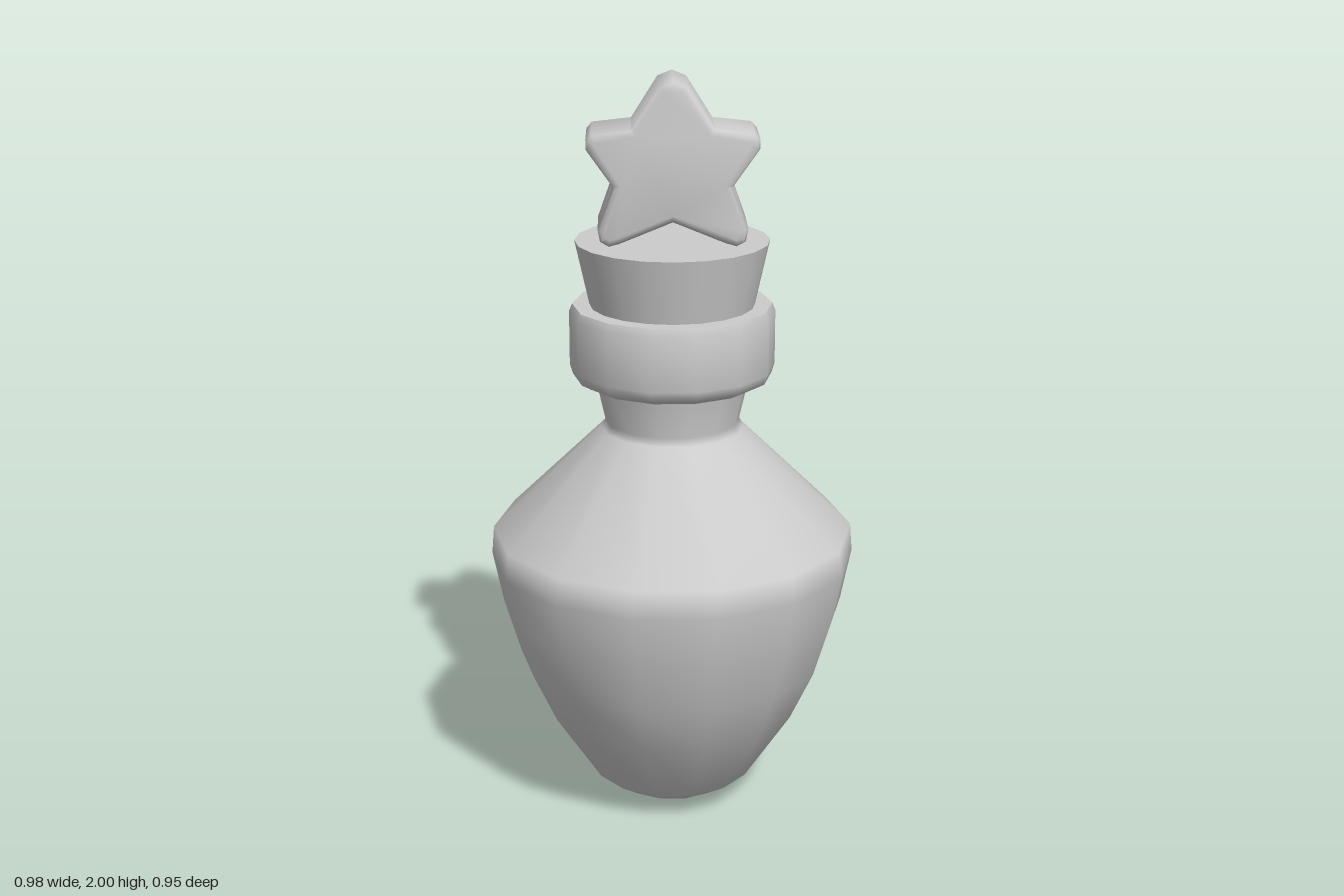
import * as THREE from 'three';
import { toCreasedNormals } from 'three/addons/utils/BufferGeometryUtils.js';

const material = new THREE.MeshStandardMaterial({ color: 0xcccccc, side: THREE.DoubleSide });

function addMesh(group, name, geometry) {
  const mesh = new THREE.Mesh(geometry, material);
  mesh.name = name;
  group.add(mesh);
  return mesh;
}

// Turned part with 14 sides and a corner on the x axis
function turned(profile) {
  const points = profile.map(([r, y]) => new THREE.Vector2(r, y));
  return new THREE.LatheGeometry(points, 14, Math.PI / 2);
}

export function createModel() {
  const group = new THREE.Group();
  group.name = 'potionBottle';

  // Tapered body, shoulder and flaring neck
  addMesh(group, 'bottleBody', turned([
    [0, 0.005], [0.15, 0.035], [0.22, 0.08], [0.35, 0.28], [0.415, 0.42], [0.46, 0.57],
    [0.488, 0.71], [0.482, 0.785], [0.19, 1.07], [0.178, 1.09], [0.207, 1.22],
  ]));

  // Thick collar around the mouth
  addMesh(group, 'collar', toCreasedNormals(turned([
    [0.17, 1.2], [0.235, 1.2], [0.262, 1.215], [0.27, 1.24],
    [0.27, 1.385], [0.262, 1.405], [0.17, 1.405],
  ]), 0.85));

  // Cork widening towards the top
  const cork = addMesh(group, 'cork', new THREE.CylinderGeometry(0.254, 0.207, 0.215, 20));
  cork.position.y = 1.4675;

  // Star stopper: right half outline, mirrored to the left
  const half = [
    [0.037, 1.985], [0.105, 1.878], [0.206, 1.867], [0.22, 1.85], [0.22, 1.825],
    [0.153, 1.73], [0.192, 1.62], [0.186, 1.588], [0.163, 1.575], [0.135, 1.583],
  ];
  const outline = [
    [0, 2], ...half, [0, 1.638],
    ...half.map(([x, y]) => [-x, y]).reverse(),
  ].map(([x, y]) => new THREE.Vector2(x, y));
  const bevel = 0.018;
  const star = new THREE.ExtrudeGeometry(new THREE.Shape(outline), {
    depth: 0.2 - 2 * bevel,
    bevelThickness: bevel,
    bevelSize: bevel,
    bevelOffset: -bevel,
    bevelSegments: 2,
  });
  star.translate(0, 0, bevel - 0.1);
  addMesh(group, 'starStopper', toCreasedNormals(star, 0.95));

  return group;
}
